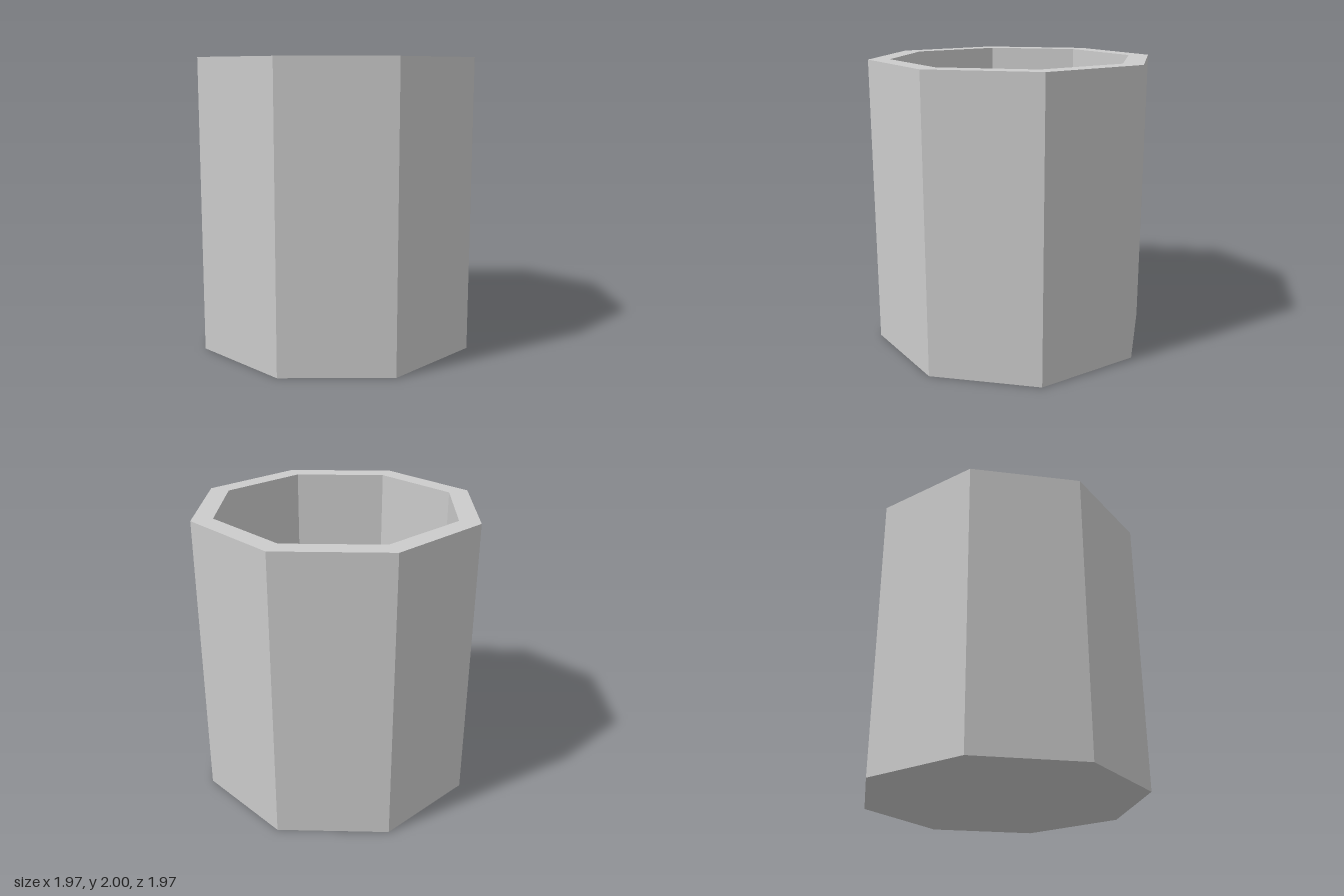
import * as THREE from 'three';

export function createModel() {
  const group = new THREE.Group();
  group.name = 'octagonalCup';

  const outer = 0.985, inner = 0.84, height = 2, floor = 0.15;

  // Closed profile: underside, outer wall, rim, inner wall, inside floor
  const profile = [
    [0, 0], [outer, 0], [outer, height],
    [inner, height], [inner, floor], [0, floor],
  ].map(([r, y]) => new THREE.Vector2(r, y));

  // Eight flat sides, corners on the x and z axes
  const cup = new THREE.Mesh(
    new THREE.LatheGeometry(profile, 8),
    new THREE.MeshStandardMaterial({ color: 0xcccccc, flatShading: true })
  );
  cup.name = 'cup';
  group.add(cup);
  return group;
}
